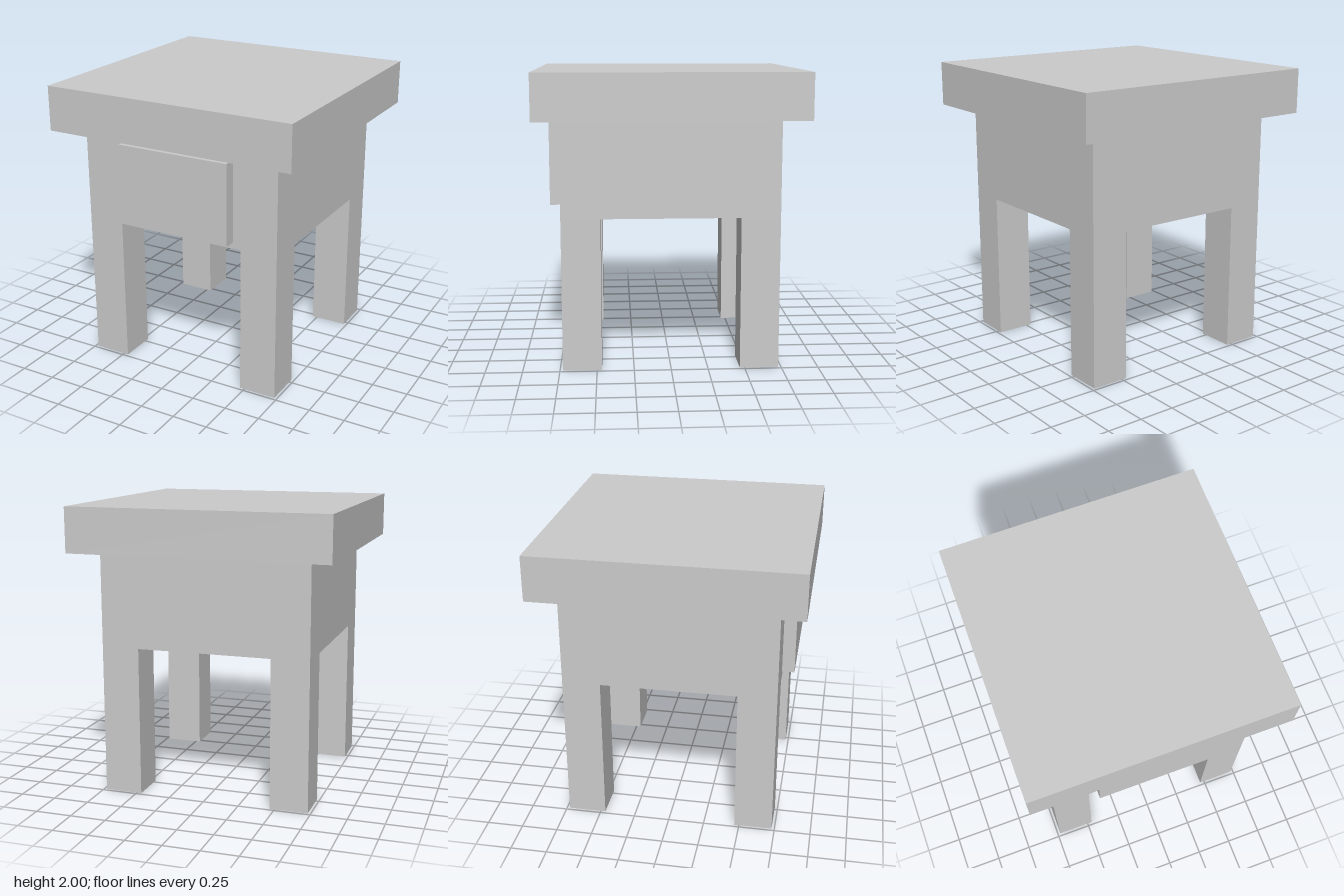
import * as THREE from 'three';

const material = new THREE.MeshStandardMaterial({ color: 0xcccccc, flatShading: true });

// Box given by its centre x/z, bottom and top heights, width and depth
function block(name, x, z, bottom, top, width, depth) {
  const mesh = new THREE.Mesh(new THREE.BoxGeometry(width, top - bottom, depth), material);
  mesh.position.set(x, (bottom + top) / 2, z);
  mesh.name = name;
  return mesh;
}

export function createModel() {
  const model = new THREE.Group();
  model.name = 'bedsideTable';

  const half = 0.73;        // half width of the cabinet
  const legSize = 0.263;
  const cabinetBottom = 1.035;
  const cabinetTop = 1.69;

  // Overhanging slab and the solid cabinet below it
  model.add(block('tableTop', 0, 0, cabinetTop, 2, 1.8, 1.8));
  model.add(block('cabinet', 0, 0, cabinetBottom, cabinetTop, half * 2, half * 2));

  // Drawer front standing proud of the cabinet
  model.add(block('drawerFront', 0, (half + 0.815) / 2, 1.08, 1.645, 0.82, 0.815 - half));

  // Square legs flush with the cabinet corners
  const offset = half - legSize / 2;
  for (const [zName, z] of [['front', offset], ['back', -offset]]) {
    for (const [xName, x] of [['Left', offset], ['Right', -offset]]) {
      model.add(block(`${zName}${xName}Leg`, x, z, 0, cabinetBottom, legSize, legSize));
    }
  }

  return model;
}
